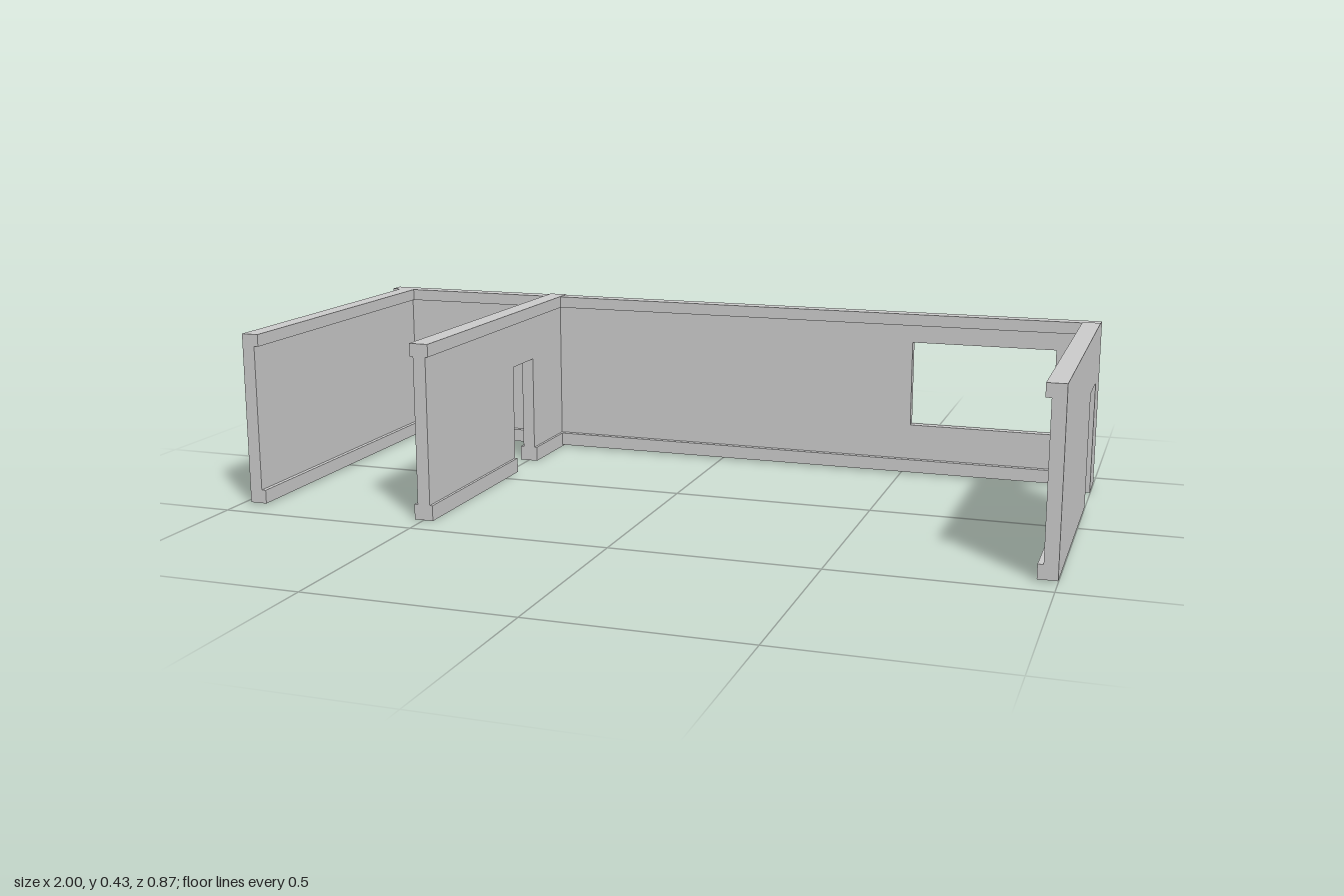
import * as THREE from 'three';

const RAIL_LOW = 0.038, RAIL_HIGH = 0.4; // panel spans between the two rails

export function createModel() {
  const model = new THREE.Group();
  const material = new THREE.MeshStandardMaterial({ color: 0xcccccc, flatShading: true });

  function add(group, geometry, name) {
    const mesh = new THREE.Mesh(geometry, material);
    mesh.name = name;
    group.add(mesh);
  }

  function box(group, name, x0, x1, y0, y1, z0, z1) {
    const g = new THREE.BoxGeometry(x1 - x0, y1 - y0, z1 - z0);
    g.translate((x0 + x1) / 2, (y0 + y1) / 2, (z0 + z1) / 2);
    add(group, g, name);
  }

  function polygon(points, Type = THREE.Shape) {
    return new Type(points.map(([x, y]) => new THREE.Vector2(x, y)));
  }

  function wallGroup(name) {
    const group = new THREE.Group();
    group.name = name;
    model.add(group);
    return group;
  }

  // Wall running front to back: thin panel, wider rails, optional doorway
  function sideWall({ name, panel, rail, y, front, railBack = -0.39, door }) {
    const group = wallGroup(name);
    const back = -0.405;
    const outline = [[back, RAIL_LOW]];
    if (door) {
      const [a, b, top] = door;
      outline.push([a, RAIL_LOW], [a, top], [b, top], [b, RAIL_LOW]);
    }
    outline.push([front, RAIL_LOW], [front, RAIL_HIGH], [back, RAIL_HIGH]);
    const g = new THREE.ExtrudeGeometry(polygon(outline), { depth: panel[1] - panel[0], bevelEnabled: false });
    g.rotateY(-Math.PI / 2).translate(panel[1], 0, 0);
    add(group, g, 'wallPanel');

    box(group, 'topRail', ...rail, RAIL_HIGH, y[1], railBack, front);
    const spans = door ? [[railBack, door[0]], [door[1], front]] : [[railBack, front]];
    for (const span of spans) box(group, 'bottomRail', ...rail, y[0], RAIL_LOW, ...span);
  }

  // Back wall with a window, flat outside and railed inside
  const backWall = wallGroup('backWall');
  const face = polygon([[-1, RAIL_LOW], [1, RAIL_LOW], [1, RAIL_HIGH], [-1, RAIL_HIGH]]);
  face.holes.push(polygon([[0.52, 0.13], [0.52, 0.353], [0.892, 0.353], [0.892, 0.13]], THREE.Path));
  const panel = new THREE.ExtrudeGeometry(face, { depth: 0.025, bevelEnabled: false });
  panel.translate(0, 0, -0.43);
  add(backWall, panel, 'windowPanel');
  box(backWall, 'topRail', -1, 1, RAIL_HIGH, 0.43, -0.43, -0.39);
  box(backWall, 'bottomRail', -1, 1, 0.004, RAIL_LOW, -0.43, -0.39);

  // Three walls reaching forward; the partition's rails pass through the back wall
  sideWall({
    name: 'leftWall', panel: [0.968, 1], rail: [0.955, 1], y: [0.004, 0.432],
    front: 0.435, door: [-0.326, -0.182, 0.29],
  });
  sideWall({
    name: 'partitionWall', panel: [-0.515, -0.483], rail: [-0.524, -0.476], y: [0, 0.431],
    front: 0.428, railBack: -0.435, door: [-0.205, -0.075, 0.285],
  });
  sideWall({
    name: 'rightWall', panel: [-0.977, -0.945], rail: [-0.977, -0.934], y: [0.004, 0.43],
    front: 0.43,
  });

  return model;
}
